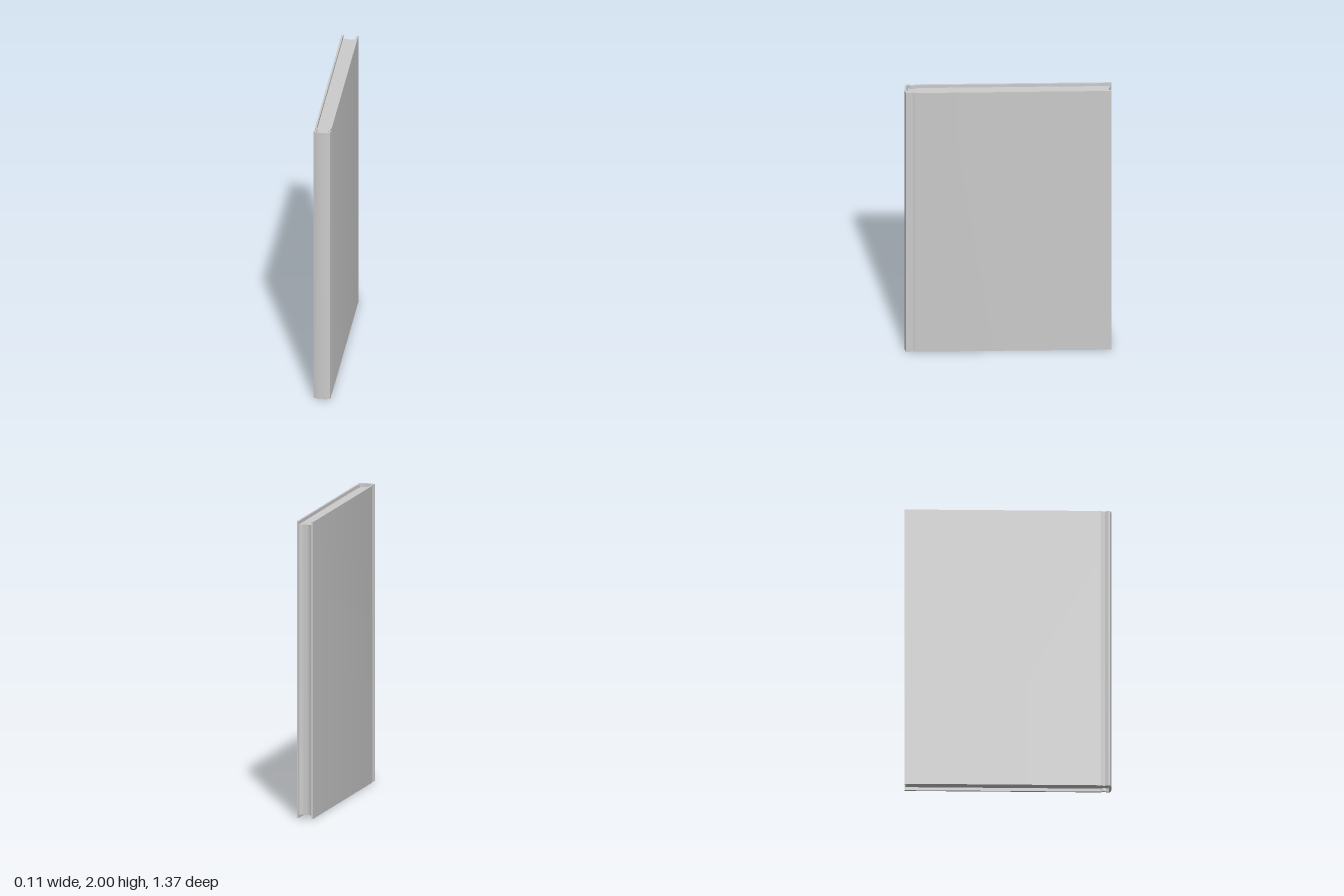
import * as THREE from 'three';
import { toCreasedNormals } from 'three/addons/utils/BufferGeometryUtils.js';

const material = new THREE.MeshStandardMaterial({ color: 0xcccccc });

// Smooth run of [x, z] points through a few control points.
function smooth(points, divisions) {
  const curve = new THREE.CatmullRomCurve3(points.map(([x, z]) => new THREE.Vector3(x, 0, z)), false, 'centripetal');
  return curve.getPoints(divisions).map((p) => [p.x, p.z]);
}

// Mirrors a half profile (side +x, back to spine) into a full run around the spine.
function mirrored(half) {
  return [...half, ...half.slice().reverse().filter(([x]) => x > 0).map(([x, z]) => [-x, z])];
}

// Raises a plan outline of [x, z] points from y0 to y1.
function raise(name, outline, y0, y1) {
  const shape = new THREE.Shape(outline.map(([x, z]) => new THREE.Vector2(x, -z)));
  const geometry = new THREE.ExtrudeGeometry(shape, { depth: y1 - y0, bevelEnabled: false });
  geometry.rotateX(-Math.PI / 2).translate(0, y0, 0);
  const mesh = new THREE.Mesh(toCreasedNormals(geometry, 0.6), material);
  mesh.name = name;
  return mesh;
}

export function createModel() {
  const book = new THREE.Group();
  book.name = 'book';

  // Cover: two boards, hinge grooves and a slightly rounded spine
  const outer = mirrored([
    [0.056, -0.685],
    ...smooth([[0.056, 0.605], [0.054, 0.616], [0.048, 0.632], [0.052, 0.646], [0.056, 0.655]], 16),
    ...smooth([[0.056, 0.674], [0.03, 0.682], [0, 0.685]], 8),
  ]);
  const inner = mirrored([
    [0.044, -0.685],
    ...smooth([[0.044, 0.605], [0.042, 0.616], [0.036, 0.632], [0.039, 0.646], [0.045, 0.658]], 16),
    ...smooth([[0.046, 0.664], [0.025, 0.669], [0, 0.671]], 8),
  ]);
  book.add(raise('cover', [...outer, ...inner.reverse()], 0, 2));

  // Pages: follow the grooves, with a hollow fore edge, set in at head and tail
  const pageSides = mirrored([
    [0.041, -0.681],
    ...smooth([[0.041, 0.605], [0.039, 0.616], [0.033, 0.632], [0.036, 0.646], [0.042, 0.659]], 16),
    ...smooth([[0.042, 0.66], [0.022, 0.664], [0, 0.666]], 8),
  ]);
  const foreEdge = smooth([[-0.041, -0.681], [-0.025, -0.672], [0, -0.669], [0.025, -0.672], [0.041, -0.681]], 12);
  book.add(raise('pages', [...pageSides, ...foreEdge.slice(1, -1)], 0.022, 1.978));

  // Endpapers: thin sheets joining the page block to each board
  for (const side of [1, -1]) {
    const sheet = new THREE.Mesh(new THREE.BoxGeometry(0.004, 1.956, 1.282), material);
    sheet.name = side > 0 ? 'leftEndpaper' : 'rightEndpaper';
    sheet.position.set(side * 0.0425, 1, -0.04);
    book.add(sheet);
  }
  return book;
}
